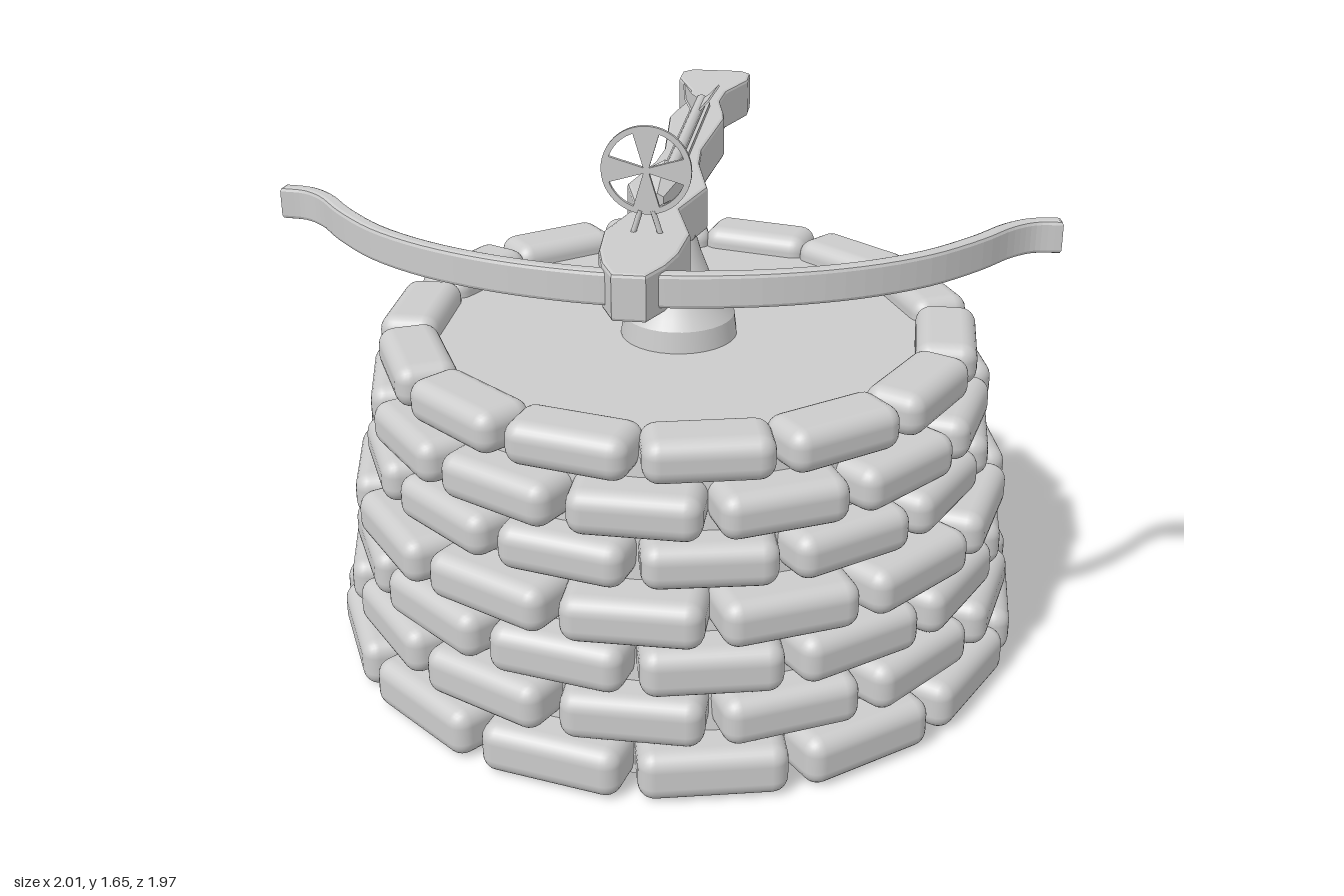
import * as THREE from 'three';
import { RoundedBoxGeometry } from 'three/addons/geometries/RoundedBoxGeometry.js';

const smooth = new THREE.MeshStandardMaterial({ color: 0xcccccc });
const flat = new THREE.MeshStandardMaterial({ color: 0xcccccc, flatShading: true });
const thin = new THREE.MeshStandardMaterial({ color: 0xcccccc, flatShading: true, side: THREE.DoubleSide });

function add(parent, name, geometry, material, x = 0, y = 0, z = 0) {
  const mesh = new THREE.Mesh(geometry, material);
  mesh.name = name;
  mesh.position.set(x, y, z);
  parent.add(mesh);
  return mesh;
}

// Small seeded generator giving values from -1 to 1
function seeded(seed) {
  let s = seed;
  return () => {
    s = (s * 16807) % 2147483647;
    return (s / 2147483647) * 2 - 1;
  };
}

// Extrude a plan outline of [x, z] points upwards from y0 to y1 with softened edges
function planExtrude(points, y0, y1, bevel) {
  const shape = new THREE.Shape(points.map(([x, z]) => new THREE.Vector2(x, -z)));
  const g = new THREE.ExtrudeGeometry(shape, {
    depth: y1 - y0 - 2 * bevel, bevelThickness: bevel, bevelSize: bevel, bevelOffset: -bevel, bevelSegments: 2,
  });
  return g.rotateX(-Math.PI / 2).translate(0, y0 + bevel, 0);
}

function rod(parent, name, from, to, radius) {
  const a = new THREE.Vector3(...from), b = new THREE.Vector3(...to);
  const mid = a.clone().add(b).multiplyScalar(0.5);
  const m = add(parent, name, new THREE.CylinderGeometry(radius, radius, a.distanceTo(b), 8), smooth, mid.x, mid.y, mid.z);
  m.quaternion.setFromUnitVectors(new THREE.Vector3(0, 1, 0), b.sub(a).normalize());
}

// Round wall of staggered, slightly uneven rounded bricks
function buildWall() {
  const wall = new THREE.Group();
  wall.name = 'brickWall';
  const rand = seeded(71);
  const count = 14;
  // bottom, top, outer radius, stagger, brick length
  const rows = [
    [0.01, 0.15, 0.973, 0.5, 0.385],
    [0.15, 0.285, 0.945, 0, 0.37],
    [0.285, 0.42, 0.925, 0.5, 0.365],
    [0.425, 0.555, 0.925, 0, 0.365],
    [0.56, 0.685, 0.875, 0.5, 0.345],
    [0.695, 0.82, 0.865, 0, 0.34],
    [0.83, 0.95, 0.828, 0.5, 0.33],
  ];
  rows.forEach(([y0, y1, radius, stagger, length], r) => {
    const depth = length * 0.51;
    const geometry = new RoundedBoxGeometry(length, y1 - y0, depth, 3, 0.045);
    const wobble = r === 0 || r === 6 ? 0.2 : 0.6;
    for (let i = 0; i < count; i++) {
      const a = ((i + stagger) / count) * Math.PI * 2;
      const d = radius - depth / 2 + rand() * 0.008 * wobble;
      const brick = add(wall, 'brick', geometry, smooth, Math.sin(a) * d, (y0 + y1) / 2, Math.cos(a) * d);
      brick.rotation.set(0, a + rand() * 0.03 * wobble, rand() * 0.02 * wobble);
    }
  });
  add(wall, 'core', new THREE.CylinderGeometry(0.745, 0.88, 0.86, 48), smooth, 0, 0.46, 0);
  return wall;
}

function buildStand() {
  const stand = new THREE.Group();
  stand.name = 'stand';
  add(stand, 'pedestalFoot', new THREE.CylinderGeometry(0.156, 0.165, 0.07, 32), smooth, 0, 0.915, 0);
  const profile = [[0.156, 0.95], [0.138, 0.975], [0.115, 1.01], [0.085, 1.07],
    [0.062, 1.13], [0.042, 1.2], [0.025, 1.29]].map(([x, y]) => new THREE.Vector2(x, y));
  add(stand, 'pedestal', new THREE.LatheGeometry(profile, 32), smooth);
  for (const s of [-1, 1]) {
    rod(stand, 'frontStrut', [s * 0.025, 1.2, 0], [s * 0.07, 1.29, 0.31], 0.014);
    rod(stand, 'rearStrut', [s * 0.02, 1.2, 0], [s * 0.035, 1.29, -0.56], 0.013);
  }
  return stand;
}

// Bow limbs: a curved centre line given an even thickness
function bowGeometry() {
  const half = [[0, 0.81], [0.15, 0.8], [0.34, 0.76], [0.52, 0.69], [0.67, 0.595],
    [0.79, 0.475], [0.87, 0.375], [0.93, 0.332], [1, 0.322]];
  const mirrored = half.slice(1).reverse().map(([x, z]) => [-x, z]);
  const curve = new THREE.CatmullRomCurve3([...mirrored, ...half].map(([x, z]) => new THREE.Vector3(x, 0, z)));
  const front = [], back = [];
  for (let i = 0; i <= 64; i++) {
    const p = curve.getPoint(i / 64), t = curve.getTangent(i / 64);
    const w = 0.019;
    front.push([p.x - t.z * w, p.z + t.x * w]);
    back.unshift([p.x + t.z * w, p.z - t.x * w]);
  }
  return planExtrude([...front, ...back], 1.297, 1.383, 0.01);
}

// Spoked ring sight standing on two small legs
function buildSight() {
  const sight = new THREE.Group();
  sight.name = 'sight';
  sight.position.set(0, 1.553, 0.59);
  const options = { depth: 0.01, bevelEnabled: false, curveSegments: 24 };
  const ring = new THREE.Shape().absarc(0, 0, 0.109, 0, Math.PI * 2);
  ring.holes.push(new THREE.Path().absarc(0, 0, 0.095, 0, Math.PI * 2, true));
  add(sight, 'ring', new THREE.ExtrudeGeometry(ring, options), flat, 0, 0, -0.005);
  const spoke = new THREE.Shape([[-0.005, 0], [0.005, 0], [0.033, 0.095], [-0.033, 0.095]].map((p) => new THREE.Vector2(...p)));
  const spokeGeometry = new THREE.ExtrudeGeometry(spoke, options);
  for (let i = 0; i < 4; i++) {
    add(sight, 'spoke', spokeGeometry, flat, 0, 0, -0.005).rotation.z = (i * Math.PI) / 2;
  }
  for (const s of [-1, 1]) rod(sight, 'leg', [s * 0.015, -0.1, 0], [s * 0.035, -0.165, 0], 0.007);
  return sight;
}

// Bolt lying on a narrow rail
function buildBolt() {
  const bolt = new THREE.Group();
  bolt.name = 'bolt';
  bolt.position.y = 1.418;
  add(bolt, 'rail', new THREE.BoxGeometry(0.05, 0.025, 0.79), flat, 0, -0.02, -0.115);
  add(bolt, 'shaft', new THREE.CylinderGeometry(0.017, 0.017, 0.79, 10).rotateX(Math.PI / 2), smooth, 0, 0, -0.115);
  const head = new THREE.CylinderGeometry(0.018, 0.06, 0.145, 6).rotateX(Math.PI / 2);
  add(bolt, 'head', head, flat, 0, 0, 0.34);
  const fin = new THREE.Shape([[-0.34, 0], [-0.4, 0.045], [-0.51, 0.07], [-0.48, 0.035], [-0.5, 0]].map((p) => new THREE.Vector2(...p)));
  const finGeometry = new THREE.ExtrudeGeometry(fin, { depth: 0.006, bevelEnabled: false });
  finGeometry.translate(0, 0, -0.003).rotateY(-Math.PI / 2);
  for (const a of [-0.85, 0.85]) add(bolt, 'fin', finGeometry, thin).rotation.z = a;
  return bolt;
}

function buildCrossbow() {
  const crossbow = new THREE.Group();
  crossbow.name = 'crossbow';
  const side = [[0.04, 0.875], [0.075, 0.8], [0.095, 0.72], [0.105, 0.585], [0.055, 0.405], [0.105, 0.23],
    [0.06, 0.03], [0.052, -0.09], [0.08, -0.4], [0.072, -0.46], [0.048, -0.58], [0.055, -0.69],
    [0.108, -0.83], [0.108, -0.91], [0.08, -0.94]];
  const outline = [...side, ...side.slice().reverse().map(([x, z]) => [-x, z])];
  add(crossbow, 'stock', planExtrude(outline, 1.28, 1.398, 0.009), flat);
  add(crossbow, 'bow', bowGeometry(), flat);
  crossbow.add(buildSight(), buildBolt());
  return crossbow;
}

export function createModel() {
  const model = new THREE.Group();
  model.name = 'crossbowTower';
  model.add(buildWall(), buildStand(), buildCrossbow());
  return model;
}
